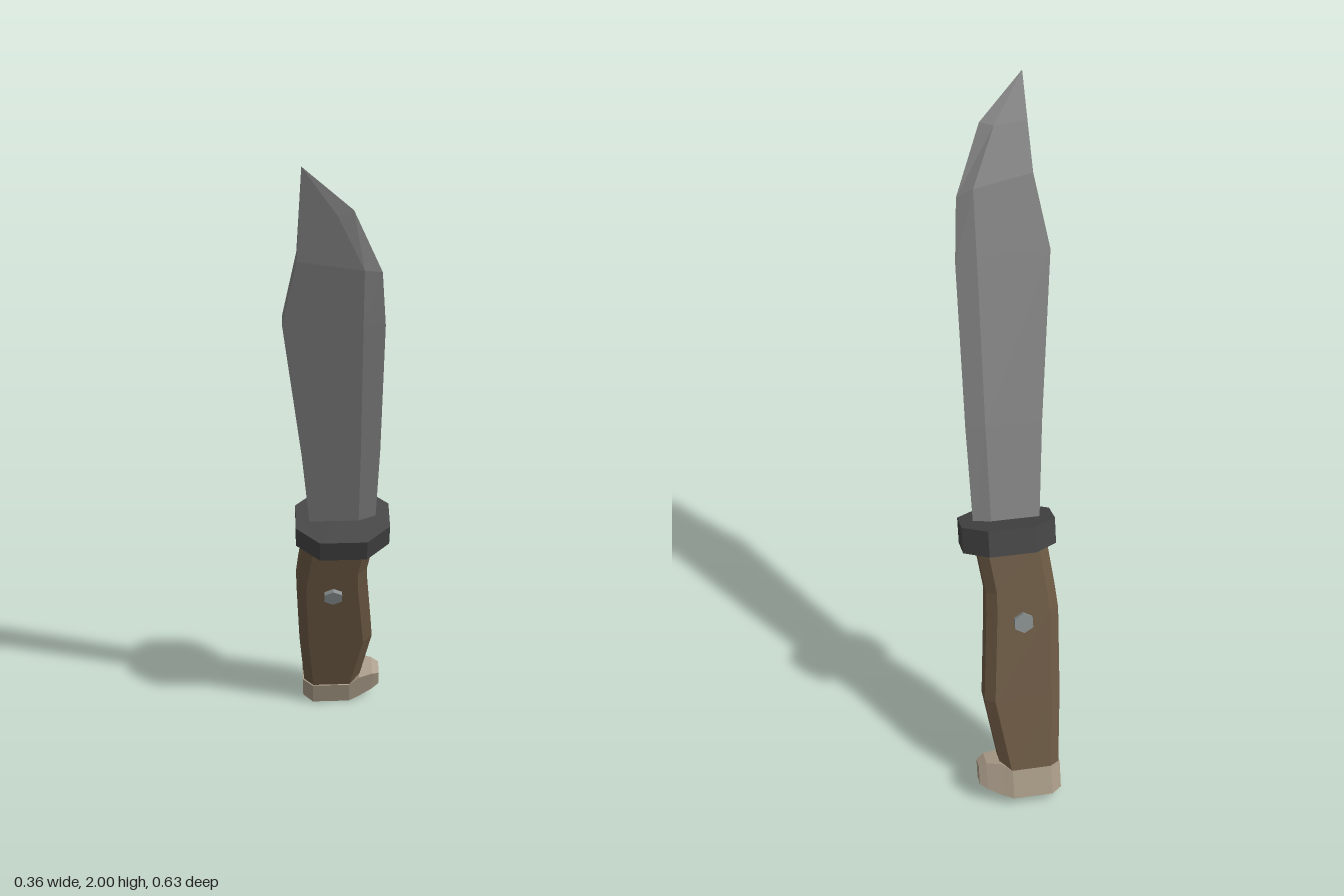
import * as THREE from 'three';

// Closed, faceted skin through rings of [x, y, z] points (rings run counterclockwise seen from the far end)
function loft(rings) {
  const pos = [];
  const tri = (a, b, c) => pos.push(...a, ...b, ...c);
  const n = rings[0].length;
  for (let i = 0; i < rings.length - 1; i++) {
    const r = rings[i], s = rings[i + 1];
    for (let j = 0; j < n; j++) {
      const k = (j + 1) % n;
      tri(r[j], r[k], s[k]);
      tri(r[j], s[k], s[j]);
    }
  }
  const first = rings[0], last = rings[rings.length - 1];
  for (let j = 1; j < n - 1; j++) {
    tri(first[0], first[j + 1], first[j]);
    tri(last[0], last[j], last[j + 1]);
  }
  const geo = new THREE.BufferGeometry();
  geo.setAttribute('position', new THREE.Float32BufferAttribute(pos, 3));
  geo.computeVertexNormals();
  return geo;
}

// Chamfered rectangle at height y, from x = l to x = r, half thickness t
const octagon = (y, l, r, t, cx, cz) => [
  [l + cx, y, t], [r - cx, y, t], [r, y, t - cz], [r, y, cz - t],
  [r - cx, y, -t], [l + cx, y, -t], [l, y, cz - t], [l, y, t - cz],
];

export function createModel() {
  const material = (name, color) => {
    const m = new THREE.MeshStandardMaterial({ color });
    m.name = name;
    return m;
  };
  const steel = material('steel', 0x808080);
  const wood = material('brown wood', 0x6b5843);
  const iron = material('dark iron', 0x434343);
  const bone = material('pale bone', 0xa99b88);
  const rivetMetal = material('rivet metal', 0x858a8c);

  const knife = new THREE.Group();
  knife.name = 'knife';
  const add = (name, geo, mat) => {
    const mesh = new THREE.Mesh(geo, mat);
    mesh.name = name;
    knife.add(mesh);
    return mesh;
  };

  // Blade: thick spine on -x, bevel to a sharp edge on +x
  // each station: spine [x, y], bevel [x, y], edge [x, y], half thickness
  const stations = [
    [[-0.065, 0.81], [0.07, 0.81], [0.118, 0.81], 0.018],
    [[-0.088, 1.126], [0.07, 1.126], [0.123, 1.126], 0.018],
    [[-0.133, 1.6], [0.066, 1.595], [0.122, 1.58], 0.018],
    [[-0.096, 1.804], [0.065, 1.773], [0.109, 1.752], 0.018],
    [[-0.089, 1.94], [0.0, 1.93], [0.037, 1.94], 0.009],
    [[-0.083, 2.065], [-0.083, 2.065], [-0.083, 2.065], 0],
  ];
  add('blade', loft(stations.map(([s, b, e, t]) => [
    [...s, t], [...b, t], [...e, 0], [...b, -t], [...s, -t],
  ])), steel);

  // Guard: flat eight-sided collar
  add('guard', loft([0.776, 0.852].map((y) => octagon(y, -0.107, 0.157, 0.098, 0.066, 0.056))), iron);

  // Handle: chamfered grip with a finger swell
  const grip = [
    [0.08, -0.086, 0.084], [0.313, -0.1, 0.121], [0.574, -0.107, 0.101],
    [0.646, -0.1, 0.098], [0.79, -0.082, 0.118],
  ];
  add('handle', loft(grip.map(([y, l, r]) => octagon(y, l, r, 0.052, 0.028, 0.024))), wood);

  // Pommel: cap that narrows into a hook on +x; x, bottom y, top y, half thickness
  const cap = [
    [-0.09, 0.0, 0.085, 0.03], [-0.06, -0.005, 0.085, 0.055], [0.055, -0.005, 0.085, 0.055],
    [0.086, 0.005, 0.108, 0.045], [0.128, 0.025, 0.11, 0.032], [0.15, 0.04, 0.098, 0.022],
  ];
  add('pommel', loft(cap.map(([x, lo, hi, t]) => [
    [x, lo, t], [x, lo, -t], [x, hi, -t], [x, hi, t],
  ])), bone);

  // Rivet through the handle
  const pin = new THREE.CylinderGeometry(0.03, 0.03, 0.13, 6).toNonIndexed();
  pin.rotateX(Math.PI / 2);
  pin.computeVertexNormals();
  add('rivet', pin, rivetMetal).position.set(0, 0.553, 0);

  // Lean the knife forward with a slight twist
  const ex = new THREE.Vector3(0.985, 0, 0.174).normalize();
  const ez = ex.clone().cross(new THREE.Vector3(-0.05, 0.959, 0.283)).normalize();
  const ey = ez.clone().cross(ex);
  knife.quaternion.setFromRotationMatrix(new THREE.Matrix4().makeBasis(ex, ey, ez));
  knife.position.set(0.03, 0.02, -0.255);

  const model = new THREE.Group();
  model.name = 'model';
  model.add(knife);
  return model;
}
